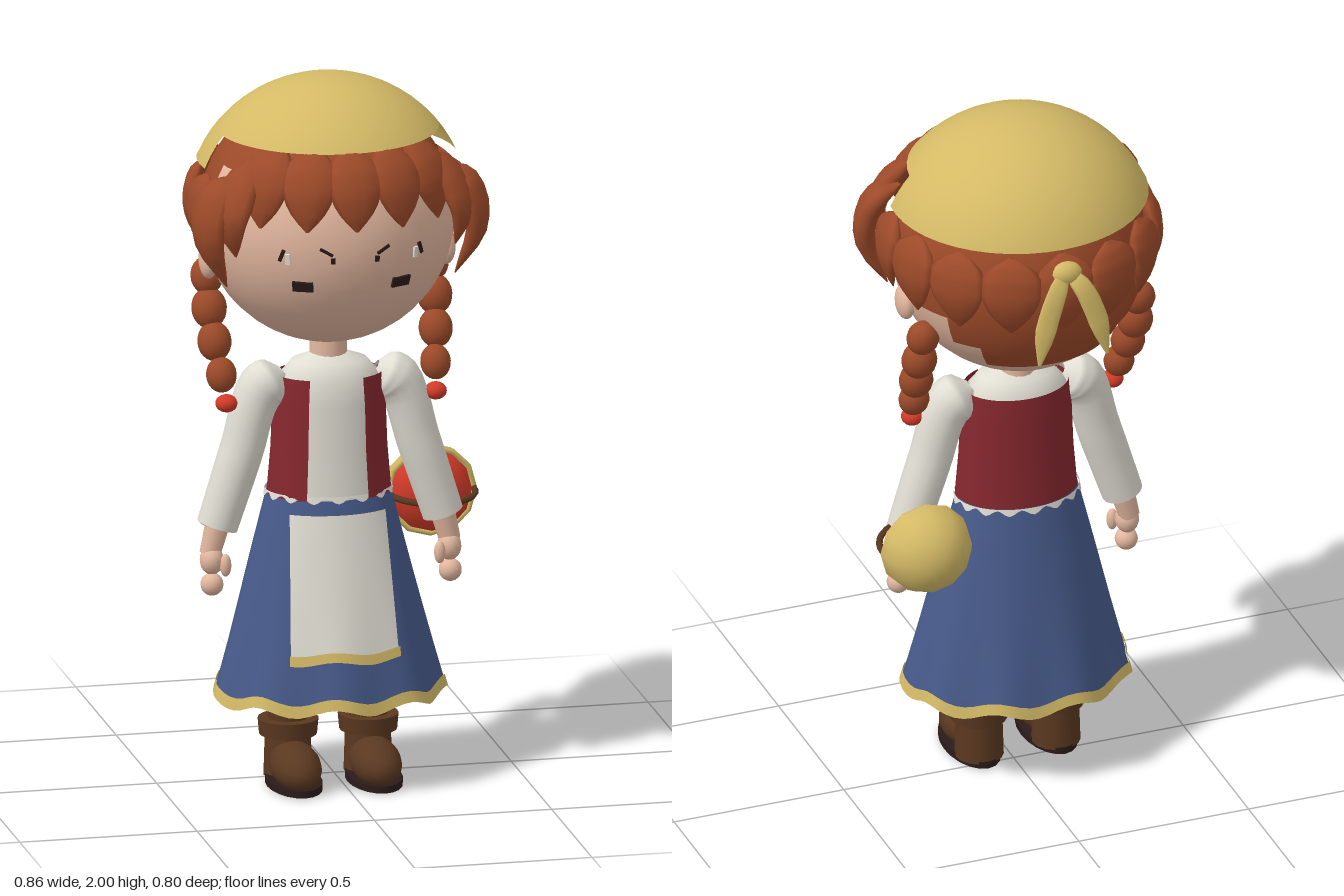
import * as THREE from 'three';
import { ParametricGeometry } from 'three/addons/geometries/ParametricGeometry.js';

const paint = (name, color) => new THREE.MeshStandardMaterial({ name, color, side: THREE.DoubleSide });
const V = (x, y, z) => new THREE.Vector3(x, y, z);
const HEAD = V(0, 1.6, 0.03);
const TAU = Math.PI * 2, rad = THREE.MathUtils.degToRad;

// Linear lookup in a short list, t from 0 to 1
function along(list, t) {
  const f = t * (list.length - 1), i = Math.min(Math.floor(f), list.length - 2);
  return THREE.MathUtils.lerp(list[i], list[i + 1], f - i);
}

// Elliptical sweep along a curve; the thin axis points away from `centre`
function sweep(points, widths, flat, centre, sides = 10, steps = 10) {
  const curve = new THREE.CatmullRomCurve3(points);
  return new ParametricGeometry((u, v, target) => {
    const p = curve.getPoint(v), dir = curve.getTangent(v);
    const side = p.clone().sub(centre).cross(dir).normalize();
    const out = dir.clone().cross(side).normalize();
    const w = along(widths, v), a = u * TAU;
    target.copy(p).addScaledVector(side, w * Math.cos(a)).addScaledVector(out, w * flat * Math.sin(a));
  }, sides, steps);
}

// Point around the head at an angle from the front
function onHead(deg, y, off) {
  const r = Math.sqrt(Math.max(0, 0.1296 - (y - HEAD.y) ** 2)) + off, a = rad(deg);
  return V(r * Math.sin(a), y, HEAD.z + r * Math.cos(a));
}

// Skirt surface: flared ellipse with soft folds near the hem
function skirtPoint(a, y, off, target) {
  const t = (0.83 - y) / 0.58, fold = 1 + 0.025 * t * t * Math.cos(9 * a);
  const rx = (0.172 + 0.146 * t) * fold + off, rz = (0.127 + 0.124 * t) * fold + off;
  return target.set(rx * Math.sin(a), y + 0.012 * t * t * Math.cos(9 * a + 1), 0.04 + rz * Math.cos(a));
}

export function createModel() {
  const model = new THREE.Group();
  model.name = 'villageGirl';
  const skin = paint('skin', 0xe3b79f), hair = paint('hair', 0x9c4a29), straw = paint('straw', 0xd4ba66);
  const linen = paint('linen', 0xe0ddd2), bodiceRed = paint('bodiceRed', 0x86282e), brightRed = paint('brightRed', 0xd23a28);
  const blue = paint('skirtBlue', 0x475a8a), leather = paint('leather', 0x5a3820), dark = paint('dark', 0x2a1b19);

  const add = (name, geometry, material, x = 0, y = 0, z = 0) => {
    const mesh = new THREE.Mesh(geometry, material);
    mesh.name = name;
    mesh.position.set(x, y, z);
    model.add(mesh);
    return mesh;
  };
  const ball = (name, r, mat, x, y, z, sx = 1, sy = 1, sz = 1) => {
    const m = add(name, new THREE.SphereGeometry(r, 16, 12), mat, x, y, z);
    m.scale.set(sx, sy, sz);
    return m;
  };

  // Head and neck
  add('head', new THREE.SphereGeometry(0.35, 32, 24), skin, HEAD.x, HEAD.y, HEAD.z);
  add('neck', new THREE.CylinderGeometry(0.05, 0.055, 0.14, 16), skin, 0, 1.22, 0.04);

  // Head cloth: lower at the back, higher above the forehead
  const capPart = (name, start, length, bottom) => {
    const theta = Math.acos((bottom - 1.62) / 0.38);
    add(name, new THREE.SphereGeometry(0.38, 24, 12, start, length, 0, theta), straw, 0, 1.62, 0.03).scale.x = 1.03;
  };
  capPart('capFront', 0, Math.PI, 1.855);
  capPart('capBack', Math.PI - 0.14, Math.PI + 0.28, 1.767);

  // Hair lying on the scalp, stepping lower towards the nape
  const scalp = (halfAngle, bottom) => add('scalpHair',
    new THREE.SphereGeometry(0.356, 24, 16, Math.PI * 1.5 - rad(halfAngle), rad(halfAngle * 2), 0,
      Math.acos((bottom - HEAD.y) / 0.356)), hair, HEAD.x, HEAD.y, HEAD.z);
  scalp(180, 1.775);
  [[100, 1.62], [70, 1.53], [55, 1.44], [40, 1.36]].forEach(([a, y]) => scalp(a, y));

  // Fringe, side locks and the ring of locks below the cloth
  const lock = (name, deg, rows, width, flat) => add(name, sweep(rows.map(([y, off]) => onHead(deg, y, off)),
    [0.1, 0.8, 1, 1, 0.85, 0.55, 0.05].map(w => w * width), flat, HEAD), hair);
  for (let i = -2; i <= 2; i++) {
    lock('fringeLock', i * 21.5, [[1.87, 0.02], [1.8, 0.025], [1.73, 0.018], [1.65, 0.012]], 0.077, 0.4);
  }
  for (const s of [-1, 1]) {
    lock('sideLock', s * 63, [[1.77, 0.01], [1.72, 0.06], [1.6, 0.065], [1.46, 0.03]], 0.068, 0.5);
    lock('templeLock', s * 54, [[1.83, 0.02], [1.75, 0.04], [1.66, 0.05], [1.56, 0.025]], 0.065, 0.5);
    for (const a of [84, 108, 132, 156]) {
      lock('backLock', s * a, [[1.75, 0.02], [1.69, 0.02], [1.61, 0.015], [1.52, 0.005]], 0.085, 0.3);
    }
  }
  lock('backLock', 180, [[1.75, 0.01], [1.69, 0.015], [1.61, 0.012], [1.52, 0.005]], 0.085, 0.3);

  // Bow knot and tails at the back
  ball('bowKnot', 0.04, straw, 0, 1.7, -0.335, 1.2, 0.9, 0.8);
  for (const s of [-1, 1]) {
    add('bowTail', sweep([V(0, 1.71, -0.34), V(s * 0.035, 1.67, -0.37), V(s * 0.075, 1.57, -0.385), V(s * 0.1, 1.46, -0.395)],
      [0.012, 0.026, 0.03, 0.03, 0.005], 0.25, HEAD), straw);
  }

  // Face: thin plates lying on the head
  const faceMark = (name, x, y, w, h, mat, tilt = 0) => {
    const p = V(x, y, HEAD.z + Math.sqrt(0.1225 - x * x - (y - HEAD.y) ** 2));
    const m = add(name, new THREE.BoxGeometry(w, h, 0.008), mat, p.x, p.y, p.z);
    m.lookAt(p.clone().multiplyScalar(2).sub(HEAD));
    m.rotateZ(tilt);
  };
  for (const s of [-1, 1]) {
    faceMark('eye', s * 0.138, 1.485, 0.058, 0.03, dark);
    faceMark('eyeWhite', s * 0.18, 1.565, 0.014, 0.03, linen);
    faceMark('lash', s * 0.195, 1.575, 0.01, 0.035, dark, s * 0.4);
    faceMark('brow', s * 0.08, 1.59, 0.04, 0.008, dark, s * 0.5);
    faceMark('innerLash', s * 0.062, 1.565, 0.012, 0.016, dark);
  }

  // Torso: linen shirt with a bodice open at the front
  const torso = (name, profile, mat, start = 0, length = TAU) => {
    const g = new THREE.LatheGeometry(profile.map(([r, y]) => new THREE.Vector2(r, y)), 32, start, length);
    add(name, g, mat, 0, 0, 0.047).scale.z = 0.74;
  };
  torso('shirt', [[0.166, 0.82], [0.155, 0.95], [0.15, 1.08], [0.143, 1.15], [0.105, 1.195], [0.05, 1.215]], linen);
  torso('bodice', [[0.174, 0.82], [0.163, 0.95], [0.158, 1.08], [0.15, 1.16]], bodiceRed, rad(30), rad(300));

  // Skirt, hem trim, scalloped waistband and apron
  const cloth = (name, mat, fn, nu, nv) => add(name, new ParametricGeometry(fn, nu, nv), mat);
  cloth('skirt', blue, (u, v, p) => skirtPoint(u * TAU, 0.25 + 0.58 * v, 0, p), 72, 10);
  cloth('hemTrim', straw, (u, v, p) => skirtPoint(u * TAU, 0.245 + 0.032 * v, 0.005, p), 72, 1);
  cloth('waistband', linen, (u, v, p) =>
    skirtPoint(u * TAU, 0.832 - v * (0.012 + 0.008 * Math.cos(u * TAU * 16)), 0.006, p), 96, 1);
  const apron = (name, mat, top, bottom, off) => cloth(name, mat, (u, v, p) => {
    const y = top + (bottom - top) * v, t = (0.83 - y) / 0.58;
    const half = 0.125 + 0.028 * t;
    return skirtPoint(Math.asin((u * 2 - 1) * half / (0.178 + 0.146 * t)), y, off, p);
  }, 16, 8);
  apron('apron', linen, 0.785, 0.39, 0.018);
  apron('apronTrim', straw, 0.412, 0.385, 0.026);

  for (const s of [-1, 1]) {
    // Ears, braids and ties
    ball('ear', 0.052, skin, s * 0.335, 1.49, 0.025, 0.5, 1, 0.85);
    [[0.318, 1.42, -0.068, 0.046], [0.318, 1.335, -0.04, 0.05], [0.312, 1.25, 0, 0.048], [0.302, 1.165, 0.042, 0.043]]
      .forEach(([x, y, z, r]) => { ball('braid', r, hair, s * x, y, z, 1, 1.15, 0.95).rotation.x = -0.35; });
    ball('braidTie', 0.031, brightRed, s * 0.295, 1.092, 0.075, 1, 0.8, 1);

    // Sleeves and hands
    add('sleeve', sweep([V(s * 0.13, 1.165, 0.05), V(s * 0.195, 1.12, 0.055), V(s * 0.25, 0.95, 0.06), V(s * 0.318, 0.74, 0.06)],
      [0.02, 0.065, 0.07, 0.064, 0.062, 0.062, 0.06, 0.058], 1, V(0, 1, -3), 16, 16), linen);
    add('cuffInside', new THREE.SphereGeometry(0.054, 16, 8), linen, s * 0.315, 0.755, 0.06).scale.y = 0.3;
    add('wrist', new THREE.CylinderGeometry(0.036, 0.03, 0.1, 12), skin, s * 0.326, 0.71, 0.06).rotation.z = s * 0.25;
    ball('palm', 0.037, skin, s * 0.335, 0.645, 0.068, 0.9, 1.1, 1);
    ball('fingers', 0.032, skin, s * 0.336, 0.578, 0.075);
    ball('thumb', 0.016, skin, s * 0.302, 0.635, 0.095, 1, 2, 1);

    // Legs and boots
    const x = s * 0.113;
    add('leg', new THREE.CylinderGeometry(0.06, 0.055, 0.34, 16), leather, x, 0.28, 0.035);
    add('bootCuff', new THREE.CylinderGeometry(0.084, 0.08, 0.045, 18), leather, x, 0.152, 0.038);
    add('bootShaft', new THREE.CylinderGeometry(0.064, 0.068, 0.125, 16), leather, x, 0.075, 0.035);
    const toe = ball('bootToe', 0.07, leather, x, 0.06, 0.13, 1, 0.88, 1.7);
    toe.rotation.x = 0.12;
    add('sole', new THREE.CylinderGeometry(0.075, 0.075, 0.02, 20), dark, x, 0.01, 0.108).scale.z = 1.93;
  }

  // Basket hanging by its handle, opening towards the front
  const basket = new THREE.Group();
  basket.name = 'basket';
  basket.position.set(0.315, 0.765, -0.075);
  const dome = r => new THREE.SphereGeometry(r, 12, 6, 0, TAU, 0, Math.PI / 2);
  const pieces = [
    ['basketBowl', dome(0.13).rotateX(-Math.PI / 2), straw],
    ['basketRim', new THREE.TorusGeometry(0.122, 0.009, 6, 12), straw],
    ['basketFilling', dome(0.116).rotateX(Math.PI / 2).scale(1, 1, 0.63), brightRed],
    ['basketHandle', new THREE.TorusGeometry(0.122, 0.009, 6, 16, Math.PI).rotateX(Math.PI / 2).scale(1, 1, 1.2), leather],
  ];
  for (const [name, geometry, material] of pieces) {
    const mesh = new THREE.Mesh(geometry, material);
    mesh.name = name;
    basket.add(mesh);
  }
  model.add(basket);

  model.position.x = -0.025;
  const root = new THREE.Group();
  root.name = 'figure';
  root.add(model);
  return root;
}
